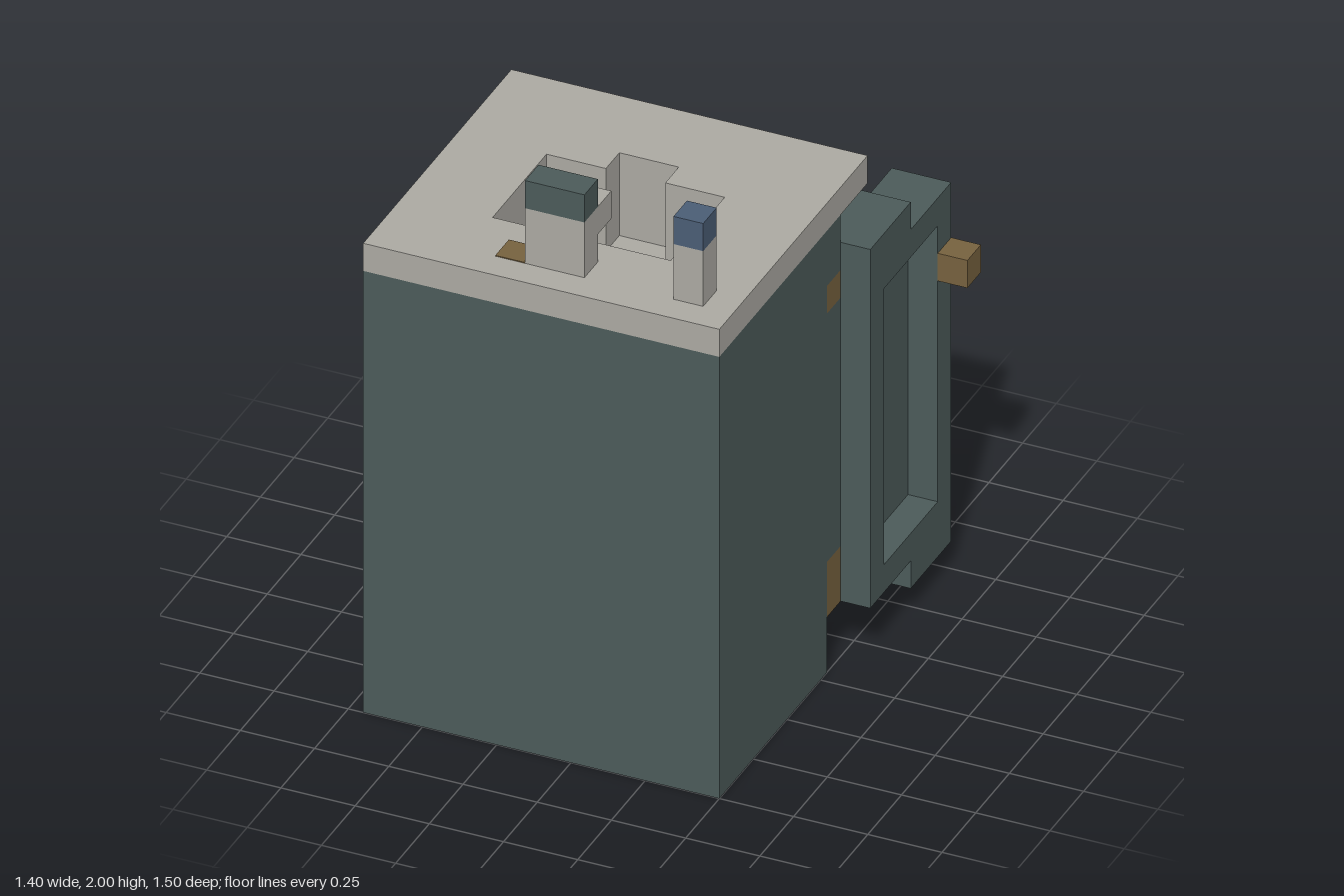
import * as THREE from 'three';

const mat = (name, color) => {
  const m = new THREE.MeshStandardMaterial({ color });
  m.name = name;
  return m;
};

export function createModel() {
  const green = mat('cabinet green', 0x4c5b5a);
  const grey = mat('stone grey', 0xacaaa3);
  const brown = mat('rust brown', 0x77623f);
  const blue = mat('dull blue', 0x4b5e76);
  const model = new THREE.Group();
  model.name = 'sinkCabinet';

  const add = (name, geometry, material, parent = model) => {
    const mesh = new THREE.Mesh(geometry, material);
    mesh.name = name;
    parent.add(mesh);
    return mesh;
  };
  // Box given by its minimum and maximum on each axis
  const box = (name, material, x0, x1, y0, y1, z0, z1, parent) => {
    const g = new THREE.BoxGeometry(x1 - x0, y1 - y0, z1 - z0);
    g.translate((x0 + x1) / 2, (y0 + y1) / 2, (z0 + z1) / 2);
    return add(name, g, material, parent);
  };
  const toPoints = (list) => list.map(([x, y]) => new THREE.Vector2(x, y));
  const slab = (outline, hole, depth) => {
    const shape = new THREE.Shape(toPoints(outline));
    if (hole) shape.holes.push(new THREE.Path(toPoints(hole)));
    return new THREE.ExtrudeGeometry(shape, { depth, bevelEnabled: false });
  };
  const rect = (x0, x1, y0, y1) => [[x0, y0], [x1, y0], [x1, y1], [x0, y1]];

  // Hollow cabinet body, open at the back
  box('base', green, -0.7, 0.5, 0, 0.2, -0.05, 0.75);
  box('frontWall', green, -0.7, 0.5, 0.2, 1.6, 0.65, 0.75);
  box('rightWall', green, -0.7, -0.6, 0.2, 1.6, -0.15, 0.65);
  box('leftWall', green, 0.4, 0.5, 0.2, 1.6, -0.05, 0.65);
  // Edge of the left wall, broken by two hinges
  box('lowerHinge', brown, 0.4, 0.5, 0.2, 0.4, -0.15, -0.05);
  box('wallEdge', green, 0.4, 0.5, 0.4, 1.3, -0.15, -0.05);
  box('upperHinge', brown, 0.4, 0.5, 1.3, 1.4, -0.15, -0.05);
  box('wallEdgeTop', green, 0.4, 0.5, 1.4, 1.6, -0.15, -0.05);

  // Countertop and basin share one notched opening (shape y is -z)
  const opening = [
    [-0.4, -0.45], [0.2, -0.45], [0.2, -0.05], [0, -0.05],
    [0, 0.05], [-0.2, 0.05], [-0.2, -0.05], [-0.4, -0.05],
  ];
  const level = (name, outline, y, depth) => {
    const g = slab(outline, opening, depth);
    g.rotateX(-Math.PI / 2);
    g.translate(0, y, 0);
    add(name, g, grey);
  };
  level('countertop', rect(-0.7, 0.5, -0.75, 0.35), 1.6, 0.1);
  level('basinWalls', rect(-0.5, 0.3, -0.55, 0.15), 1.4, 0.2);
  box('basinFloor', grey, -0.5, 0.3, 1.3, 1.4, -0.15, 0.55);
  // Drain and stains on the basin floor
  box('drain', green, -0.2, 0, 1.4, 1.405, 0.15, 0.25);
  box('stain', brown, -0.1, 0, 1.4, 1.405, 0.25, 0.35);
  box('stain', brown, -0.2, 0, 1.4, 1.405, 0.35, 0.45);

  // Tap, single handle and rust mark
  box('tapPost', grey, -0.2, 0, 1.7, 1.9, 0.55, 0.65);
  box('tapTop', green, -0.2, 0, 1.9, 2, 0.55, 0.65);
  box('tapSpout', grey, -0.2, 0, 1.8, 1.9, 0.45, 0.55);
  box('handlePost', grey, 0.3, 0.4, 1.7, 1.9, 0.55, 0.65);
  box('handleCap', blue, 0.3, 0.4, 1.9, 2, 0.55, 0.65);
  box('rustMark', brown, -0.3, -0.2, 1.7, 1.703, 0.55, 0.65);

  // Door: solid inner layer, framed outer layer, knob
  const door = (name, outline, recess, knobX, knobY) => {
    const group = new THREE.Group();
    group.name = name;
    add('doorPanel', slab(outline, null, 0.1), green, group);
    add('doorFrame', slab(outline, recess, 0.1), green, group).position.z = 0.1;
    box('doorKnob', brown, knobX, knobX + 0.1, knobY, knobY + 0.1, 0.2, 0.3, group);
    model.add(group);
    return group;
  };
  const closed = door('closedDoor', rect(0, 0.6, 0.2, 1.5), rect(0.1, 0.5, 0.3, 1.4), 0, 1.2);
  closed.rotation.y = Math.PI;
  closed.position.set(-0.1, 0, -0.15);
  // The open door sags by one step at its free half
  const sagging = [
    [0, 0.2], [0.3, 0.2], [0.3, 0.1], [0.6, 0.1],
    [0.6, 1.4], [0.3, 1.4], [0.3, 1.5], [0, 1.5],
  ];
  const open = door('openDoor', sagging, rect(0.1, 0.5, 0.3, 1.3), 0.5, 1.1);
  open.rotation.y = Math.PI / 2;
  open.position.set(0.4, 0, -0.15);

  // Containers lying on the cabinet floor
  box('containerCap', grey, 0.3, 0.4, 0.2, 0.4, -0.05, 0.05);
  box('container', blue, 0.1, 0.3, 0.2, 0.4, -0.05, 0.05);
  box('containerEnd', grey, 0, 0.1, 0.2, 0.4, -0.05, 0.05);
  box('rearContainerCap', grey, 0.2, 0.3, 0.2, 0.4, 0.15, 0.25);
  box('rearContainer', blue, -0.1, 0.2, 0.2, 0.4, 0.15, 0.25);

  return model;
}
